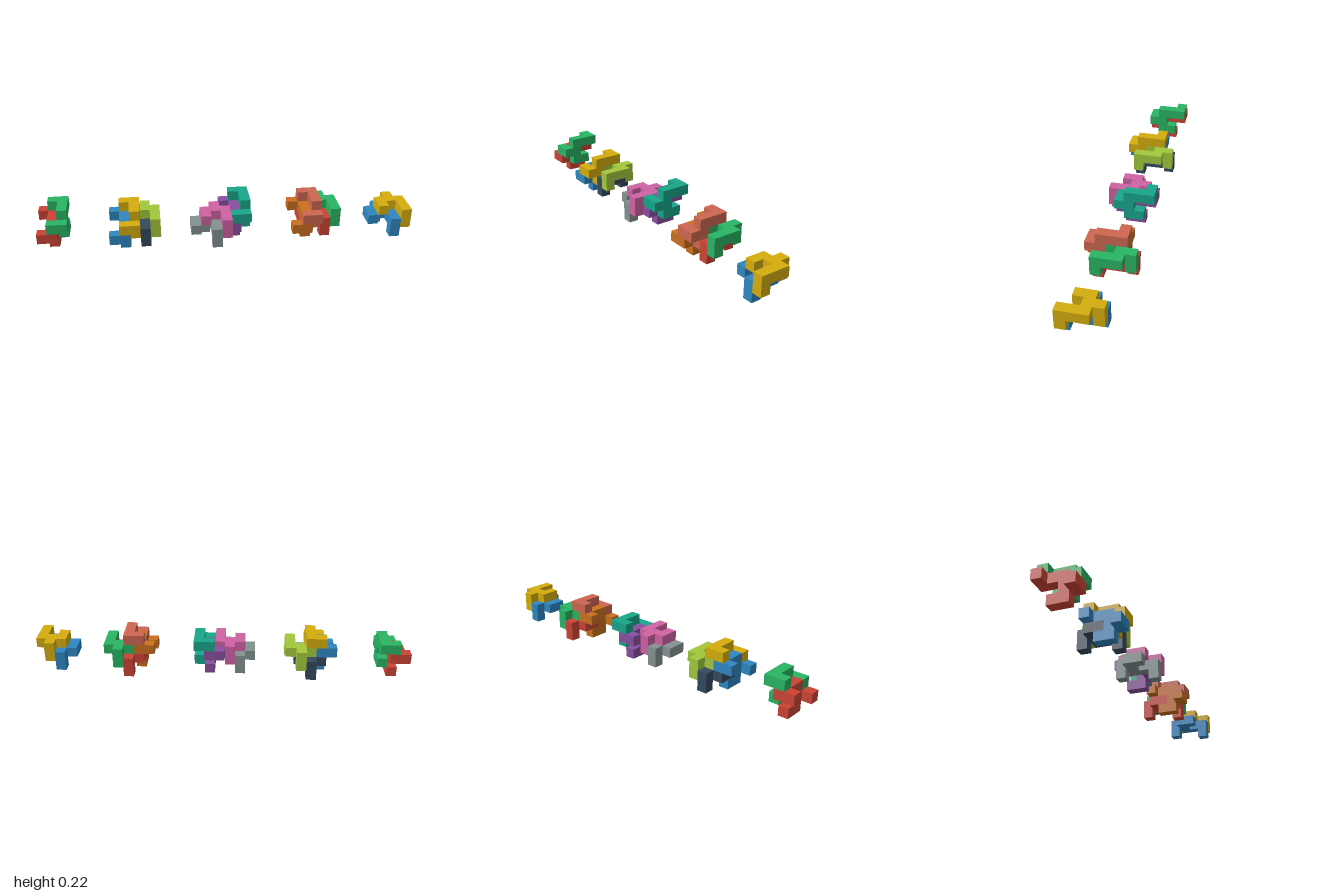
import * as THREE from 'three';
import { mergeGeometries } from 'three/addons/utils/BufferGeometryUtils.js';

const CELL = 2 / 37; // 37 cells along the longest side

// Nine-cube block lying flat, with two downward legs and a hooked side arm
const FLAT = [
  [2, 1, -1], [2, 2, -1], [2, 2, 0], [3, 2, 0], [3, 2, 1], [3, 2, 2], [3, 1, 2],
  [1, 2, 0], [1, 2, 1],
];
// The same block standing on its arm, legs pointing sideways
const UPRIGHT = [
  [1, 3, -2], [2, 3, -2], [2, 3, -1], [2, 3, 0], [2, 2, 0], [2, 2, 1], [1, 2, 1],
  [2, 1, 0], [2, 1, -1],
];

// Skin of a block: one square on every cube side that has no neighbour in the block
function blockGeometry(cells) {
  const taken = new Set(cells.map(String));
  const faces = [];
  const out = new THREE.Vector3(0, 0, 1);
  for (const [x, y, z] of cells) {
    for (let axis = 0; axis < 3; axis++) {
      for (const sign of [-1, 1]) {
        const d = [0, 0, 0];
        d[axis] = sign;
        if (taken.has(String([x + d[0], y + d[1], z + d[2]]))) continue;
        const dir = new THREE.Vector3(...d);
        const turn = new THREE.Quaternion();
        if (d[2] === -1) turn.setFromAxisAngle(new THREE.Vector3(0, 1, 0), Math.PI);
        else turn.setFromUnitVectors(out, dir);
        const face = new THREE.PlaneGeometry(CELL, CELL);
        face.applyQuaternion(turn);
        face.translate(
          (x + 0.5 + d[0] / 2) * CELL,
          (y + 0.5 + d[1] / 2) * CELL,
          (z + d[2] / 2) * CELL
        );
        faces.push(face);
      }
    }
  }
  return mergeGeometries(faces);
}

// A nested pair: the second block is the first moved one cell left in x and one down
function addPair(group, cells, offset, upper, lower) {
  [upper, lower].forEach(([name, color], i) => {
    const mesh = new THREE.Mesh(
      blockGeometry(cells),
      new THREE.MeshStandardMaterial({ color, flatShading: true })
    );
    mesh.name = name + 'Block';
    mesh.position.set((offset[0] - i) * CELL, -i * CELL, offset[1] * CELL);
    group.add(mesh);
  });
}

const red = ['red', 0xcb4335], green = ['green', 0x28b463];
const blue = ['blue', 0x2e86c1], yellow = ['yellow', 0xd4ac0d];
const navy = ['navy', 0x34495e], lime = ['lime', 0xa2c83c];
const grey = ['grey', 0x839192], pink = ['pink', 0xd062a4];
const purple = ['purple', 0x884ea0], teal = ['teal', 0x17a589];
const orange = ['orange', 0xca6f1e], salmon = ['salmon', 0xcd6650];

// Clusters from right to left: start cell, then [shape, [x, z] shift, upper, lower]
const CLUSTERS = [
  ['uprightPair', 0, [[UPRIGHT, [0, 0], green, red]]],
  ['firstFourBlocks', 7, [[UPRIGHT, [0, 1], yellow, blue], [FLAT, [1, -1], lime, navy]]],
  ['middleFourBlocks', 15, [[FLAT, [0, 0], pink, grey], [UPRIGHT, [3, 0], teal, purple]]],
  ['secondFourBlocks', 25, [[UPRIGHT, [0, 1], salmon, orange], [FLAT, [1, -1], green, red]]],
  ['flatPair', 33, [[FLAT, [0, 0], yellow, blue]]],
];

export function createModel() {
  const model = new THREE.Group();
  model.name = 'interlockingBlocks';
  for (const [name, start, pairs] of CLUSTERS) {
    const cluster = new THREE.Group();
    cluster.name = name;
    cluster.position.x = -1 + start * CELL;
    for (const pair of pairs) addPair(cluster, ...pair);
    model.add(cluster);
  }
  return model;
}
